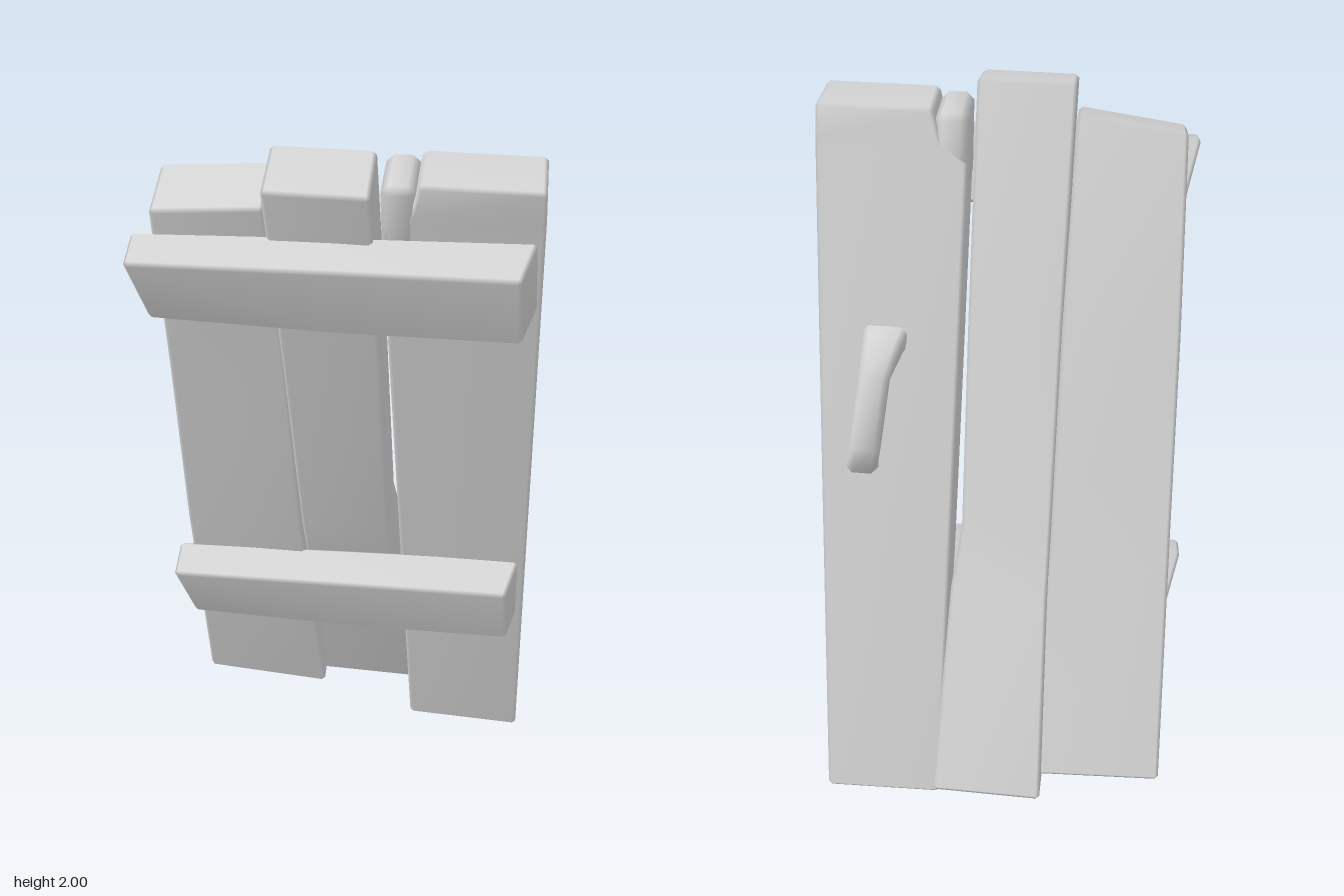
import * as THREE from 'three';
import { mergeVertices } from 'three/addons/utils/BufferGeometryUtils.js';

const V = (x, y, z) => new THREE.Vector3(x, y, z);
// Point a fixed distance from a towards b
const toward = (a, b, d) => a.clone().add(b.clone().sub(a).setLength(d));

// Skin through four-cornered sections, with every long edge and both ends softly bevelled
function loft(sections, bevel) {
  const cut = (ring) => ring.flatMap((p, i) => [
    toward(p, ring[(i + 3) % 4], bevel), toward(p, ring[(i + 1) % 4], bevel)]);
  const inset = (ring) => ring.map((p, i) =>
    toward(p, ring[(i + 3) % 4], bevel).add(toward(p, ring[(i + 1) % 4], bevel)).sub(p));
  const pull = (ring, next) => ring.map((p, i) => toward(p, next[i], bevel));
  const twice = (ring) => ring.flatMap((p) => [p, p]);
  const n = sections.length;
  const rings = [
    twice(inset(sections[0])),
    cut(pull(sections[0], sections[1])),
    ...sections.slice(1, n - 1).map(cut),
    cut(pull(sections[n - 1], sections[n - 2])),
    twice(inset(sections[n - 1])),
  ];
  const pos = [];
  const tri = (a, b, c) => {
    const area = b.clone().sub(a).cross(c.clone().sub(a)).length();
    if (area > 1e-9) [a, b, c].forEach((p) => pos.push(p.x, p.y, p.z));
  };
  for (let r = 0; r < rings.length - 1; r++) {
    for (let i = 0; i < 8; i++) {
      const j = (i + 1) % 8;
      tri(rings[r][i], rings[r][j], rings[r + 1][j]);
      tri(rings[r][i], rings[r + 1][j], rings[r + 1][i]);
    }
  }
  const a = rings[0], b = rings[rings.length - 1];
  tri(a[0], a[4], a[2]);
  tri(a[0], a[6], a[4]);
  tri(b[0], b[2], b[4]);
  tri(b[0], b[4], b[6]);
  const g = new THREE.BufferGeometry();
  g.setAttribute('position', new THREE.Float32BufferAttribute(pos, 3));
  // Area-weighted smooth normals keep the broad faces flat and the bevels soft
  const smooth = mergeVertices(g, 1e-5);
  smooth.computeVertexNormals();
  return smooth;
}

// Upright plank section: x limits, front y z, back y z, rise and shift from left edge to right edge
function plankSection([x0, x1, yF, zF, yB, zB, sy = 0, sz = 0]) {
  const y = sy / 2, z = sz / 2;
  return [V(x0, yF - y, zF - z), V(x1, yF + y, zF + z), V(x1, yB + y, zB + z), V(x0, yB - y, zB - z)];
}

// Handle swept along a path; each row is x, y, z, half width, half thickness
function handleSections(rows) {
  const pts = rows.map(([x, y, z]) => V(x, y, z));
  return rows.map(([, , , w, t], i) => {
    const dir = pts[Math.min(i + 1, pts.length - 1)].clone().sub(pts[Math.max(i - 1, 0)]).normalize();
    const v = dir.clone().cross(V(1, 0, 0)).normalize();
    const u = v.clone().cross(dir);
    return [[-1, -1], [1, -1], [1, 1], [-1, 1]].map(([a, b]) =>
      pts[i].clone().addScaledVector(u, a * w).addScaledVector(v, b * t));
  });
}

export function createModel() {
  const group = new THREE.Group();
  const grey = new THREE.MeshStandardMaterial({ color: 0xd4d4d4 });
  grey.name = 'light grey';
  const add = (name, geometry) => {
    const mesh = new THREE.Mesh(geometry, grey);
    mesh.name = name;
    group.add(mesh);
    return mesh;
  };
  const plank = (name, rows, bevel = 0.01) => add(name, loft(rows.map(plankSection), bevel));

  // Three leaning planks, bottom to top
  plank('rightSidePlank', [
    [-0.465, -0.103, 0.1, -0.205, 0.148, -0.39, -0.02, 0.02],
    [-0.465, -0.138, 0.8, 0.025, 0.85, -0.155, 0, 0.02],
    [-0.465, -0.152, 1.35, 0.165, 1.4, -0.015, 0, 0.03],
    [-0.46, -0.175, 1.87, 0.332, 1.925, 0.15, 0.03, 0.035],
  ]);
  plank('middlePlank', [
    [-0.13, 0.175, 0.07, -0.285, 0.137, -0.47, 0, 0.02],
    [-0.133, 0.135, 0.63, -0.045, 0.69, -0.235, 0, 0.015],
    [-0.138, 0.108, 0.8, 0.03, 0.86, -0.165, 0, 0.015],
    [-0.152, 0.1, 1.35, 0.215, 1.41, 0.025, 0, 0.015],
    [-0.172, 0.087, 1.95, 0.417, 2.003, 0.228, 0, 0.015],
  ]);
  plank('leftSidePlank', [
    [0.168, 0.497, 0, -0.168, 0.03, -0.36, -0.01, 0.016],
    [0.135, 0.497, 0.88, 0.053, 0.92, -0.142, 0, 0.016],
    [0.102, 0.497, 1.8, 0.287, 1.83, 0.09, 0, 0.016],
    [0.172, 0.497, 1.86, 0.305, 1.885, 0.108, 0, 0.016],
    [0.192, 0.495, 1.945, 0.33, 1.965, 0.125, 0, 0.016],
  ]);

  // Split corner at the top of the plank
  plank('splinter', [
    [0.102, 0.19, 1.72, 0.265, 1.75, 0.075],
    [0.1, 0.186, 1.935, 0.32, 1.955, 0.11],
  ], 0.02);

  // Two matching cross battens, lower one a shifted copy
  const bar = [
    [[-0.503, 1.77, 0.445], [-0.46, 1.592, 0.37], [-0.46, 1.625, 0.255], [-0.503, 1.807, 0.33]],
    [[0, 1.778, 0.465], [0, 1.58, 0.387], [0, 1.63, 0.27], [0, 1.825, 0.35]],
    [[0.445, 1.78, 0.477], [0.452, 1.58, 0.4], [0.488, 1.63, 0.28], [0.48, 1.835, 0.36]],
  ].map((ring) => ring.map((p) => V(...p)));
  const barGeometry = loft(bar, 0.01);
  add('upperBatten', barGeometry);
  add('lowerBatten', barGeometry).position.set(0, -1.115, -0.357);

  // Pull handle on the back
  add('handle', loft(handleSections([
    [0.315, 1.37, 0.03, 0.068, 0.04],
    [0.32, 1.362, -0.055, 0.052, 0.034],
    [0.338, 1.3, -0.112, 0.04, 0.03],
    [0.362, 1.12, -0.166, 0.04, 0.03],
    [0.38, 1.04, -0.135, 0.042, 0.03],
    [0.385, 1.01, -0.07, 0.046, 0.032],
  ]), 0.016));

  return group;
}
